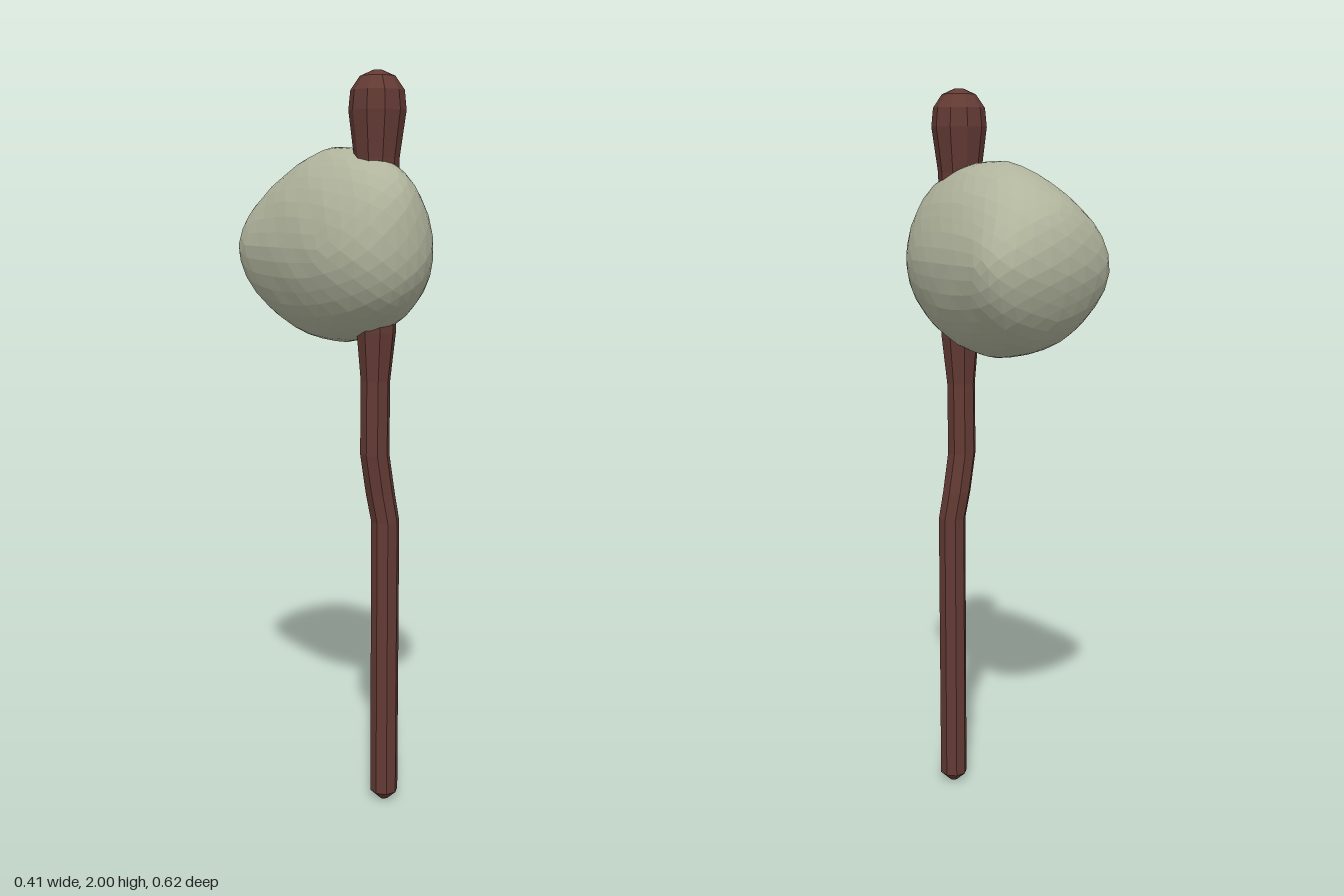
import * as THREE from 'three';

// Closed faceted tube through horizontal rings [x, y, z, radius]
function loft(rings, sides) {
  const pos = [], idx = [];
  for (const [x, y, z, r] of rings) {
    for (let i = 0; i < sides; i++) {
      const a = ((i + 0.5) / sides) * Math.PI * 2;
      pos.push(x + r * Math.sin(a), y, z + r * Math.cos(a));
    }
  }
  for (let j = 0; j < rings.length - 1; j++) {
    for (let i = 0; i < sides; i++) {
      const a = j * sides + i, b = j * sides + ((i + 1) % sides);
      idx.push(a, b, b + sides, a, b + sides, a + sides);
    }
  }
  const last = (rings.length - 1) * sides;
  for (let i = 1; i < sides - 1; i++) {
    idx.push(0, i + 1, i, last, last + i, last + i + 1);
  }
  const g = new THREE.BufferGeometry();
  g.setAttribute('position', new THREE.Float32BufferAttribute(pos, 3));
  g.setIndex(idx);
  const flat = g.toNonIndexed();
  flat.computeVertexNormals();
  return flat;
}

// Egg-like boulder: a sphere reshaped by sections [z, half width, top, bottom]
function stoneGeometry() {
  const midY = 1.55;
  const sections = [
    [0.312, 0, midY, midY],
    [0.295, 0.068, 1.67, 1.46],
    [0.25, 0.122, 1.74, 1.39],
    [0.17, 0.163, 1.78, 1.335],
    [0.07, 0.186, 1.805, 1.3],
    [-0.03, 0.196, 1.81, 1.29],
    [-0.12, 0.202, 1.785, 1.305],
    [-0.2, 0.205, 1.745, 1.335],
    [-0.255, 0.185, 1.7, 1.39],
    [-0.293, 0.115, 1.64, 1.47],
    [-0.312, 0, midY, midY],
  ];
  const upper = new THREE.CatmullRomCurve3(sections.map(([z, w, t]) => new THREE.Vector3(w, t, z)));
  const lower = new THREE.CatmullRomCurve3(sections.map(([z, w, , b]) => new THREE.Vector3(w, b, z)));
  const g = new THREE.IcosahedronGeometry(1, 6);
  const p = g.attributes.position;
  const v = new THREE.Vector3();
  for (let i = 0; i < p.count; i++) {
    v.fromBufferAttribute(p, i).normalize();
    const t = Math.acos(THREE.MathUtils.clamp(v.z, -1, 1)) / Math.PI;
    const r = Math.hypot(v.x, v.y) || 1;
    const c = v.x / r, s = v.y / r;
    const q = (s > 0 ? upper : lower).getPoint(t);
    // slight unevenness of the worked surface
    const bump = 1 + 0.008 * Math.sin(9 * v.x + 4 * v.z) * Math.sin(11 * v.y + 7 * v.z);
    const taper = 1 - 0.14 * Math.max(s, 0);
    p.setXYZ(i, q.x * c * taper * bump, midY + (q.y - midY) * Math.abs(s) * bump, q.z);
  }
  g.computeVertexNormals();
  return g;
}

export function createModel() {
  const model = new THREE.Group();
  model.name = 'stoneHammer';
  const wood = new THREE.MeshStandardMaterial({ color: 0x633a34, flatShading: true });
  const stone = new THREE.MeshStandardMaterial({ color: 0xb0b49c, flatShading: true });
  const add = (name, geometry, material) => {
    const mesh = new THREE.Mesh(geometry, material);
    mesh.name = name;
    model.add(mesh);
  };

  // Crooked shaft, running up into the stone
  add('handle', loft([
    [0.046, 0, 0.145, 0.012],
    [0.046, 0.025, 0.145, 0.039],
    [0.046, 0.81, 0.144, 0.039],
    [0.033, 0.89, 0.138, 0.04],
    [0.014, 1.0, 0.139, 0.04],
    [0.014, 1.2, 0.141, 0.04],
    [0.016, 1.33, 0.141, 0.053],
    [0.016, 1.6, 0.14, 0.055],
  ], 8), wood);

  // Swollen end above the stone
  add('handleKnob', loft([
    [0.016, 1.58, 0.139, 0.055],
    [0.016, 1.78, 0.139, 0.059],
    [0.018, 1.9, 0.138, 0.075],
    [0.018, 1.95, 0.138, 0.07],
    [0.018, 1.985, 0.138, 0.046],
    [0.018, 2.0, 0.138, 0.012],
  ], 10), wood);

  add('stoneHead', stoneGeometry(), stone);
  return model;
}
